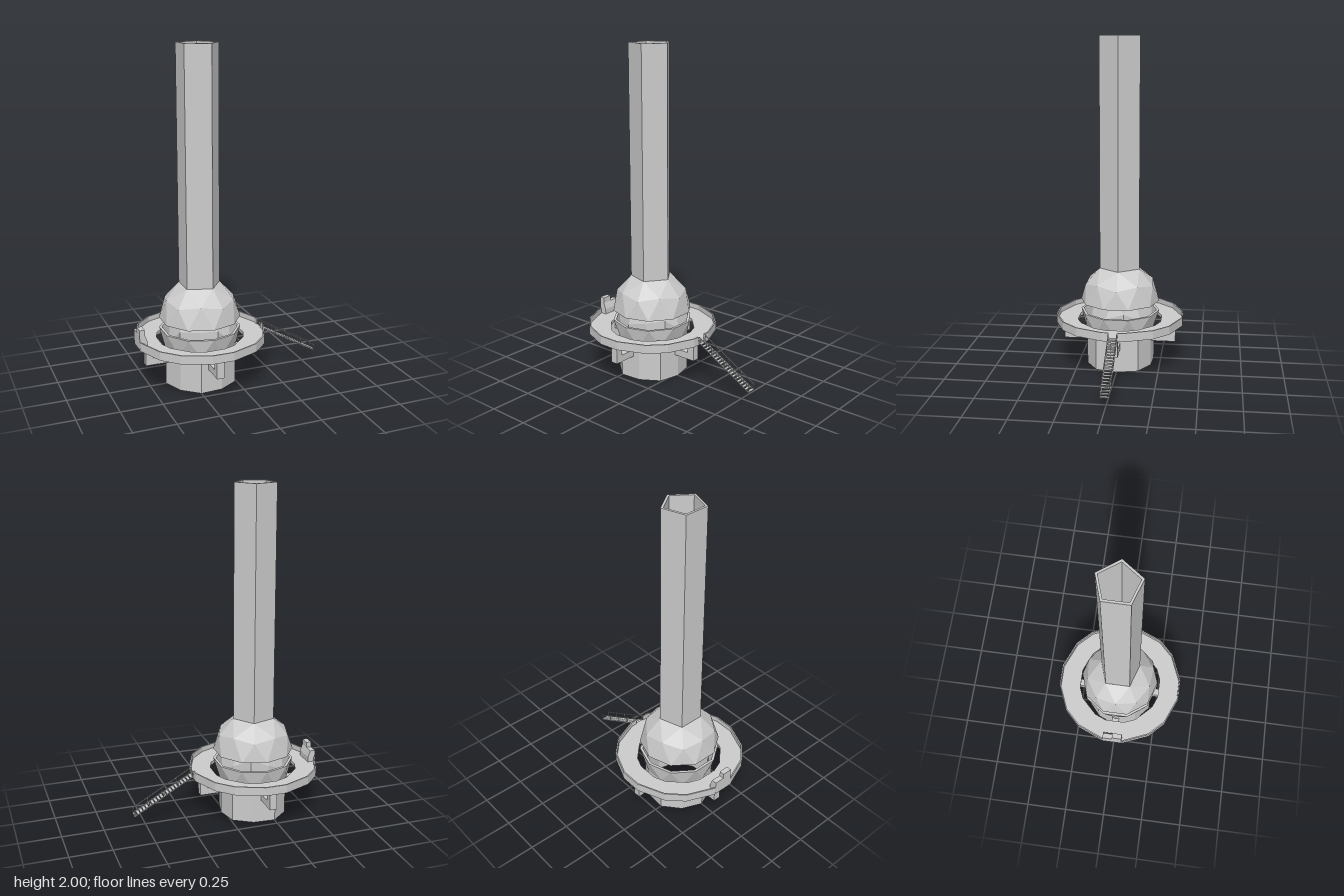
import * as THREE from 'three';

const mat = new THREE.MeshStandardMaterial({ color: 0xcccccc, flatShading: true, side: THREE.DoubleSide });
const R = 0.242;      // radius of the geodesic sphere
const CX = -0.184;    // axis of the tower

// Point at radius r, height y and azimuth in degrees
const polar = (r, y, deg) => {
  const a = THREE.MathUtils.degToRad(deg);
  return [r * Math.cos(a), y, r * Math.sin(a)];
};
const ring = (n, f) => Array.from({ length: n }, (_, j) => f(j));
const at = (a, j) => a[(j + a.length) % a.length];

// Triangle lists between rings of points
const wall = (lo, up) => lo.flatMap((p, j) => [
  [p, up[j], at(up, j + 1)], [p, at(up, j + 1), at(lo, j + 1)]]);
const flip = (tris) => tris.map(([a, b, c]) => [c, b, a]);
const cap = (outer, inner) => outer.flatMap((p, j) => [
  [p, inner[j], at(inner, j + 1)], [p, at(inner, j + 1), at(outer, j + 1)]]);

function add(parent, name, geo, x = 0, y = 0, z = 0) {
  const m = new THREE.Mesh(geo, mat);
  m.name = name;
  m.position.set(x, y, z);
  parent.add(m);
  return m;
}
const box = (parent, name, w, h, d, x, y, z) => add(parent, name, new THREE.BoxGeometry(w, h, d), x, y, z);

function fromTris(tris) {
  const g = new THREE.BufferGeometry();
  g.setAttribute('position', new THREE.Float32BufferAttribute(tris.flat(2), 3));
  g.computeVertexNormals();
  return g;
}

// Upper half of a two-frequency geodesic sphere, open at the top pentagon
function domeParts(s, y0) {
  const r = R * s;
  const A = ring(5, k => polar(r * 0.5257, y0 + r * 0.8507, 72 * k));
  const B = ring(10, j => (j % 2 ? polar(r * 0.8507, y0 + r * 0.5257, 36 * j) : polar(r * 0.8944, y0 + r * 0.4472, 36 * j)));
  const E = ring(10, j => polar(r, y0, 18 + 36 * j));
  const tris = [];
  A.forEach((a, k) => tris.push(
    [a, at(A, k + 1), at(B, 2 * k + 1)],
    [at(B, 2 * k), a, at(B, 2 * k + 1)],
    [at(B, 2 * k - 1), a, at(B, 2 * k)]));
  B.forEach((b, j) => tris.push([at(E, j - 1), b, E[j]], [b, at(B, j + 1), E[j]]));
  return { tris, A, E };
}

// Lower bowl of the sphere, running straight down into the base
function baseParts(s, y0) {
  const r = R * s;
  const E = ring(10, j => polar(r, y0, 18 + 36 * j));
  const L = ring(10, j => (j % 2 ? polar(r * 0.8944, y0 - R * 0.4472, 36 * j) : polar(r * 0.8507, y0 - R * 0.5257, 36 * j)));
  const G = L.map(([x, , z]) => [x, 0, z]);
  const tris = wall(G, L);
  L.forEach((l, j) => tris.push([l, E[j], at(L, j + 1)], [at(E, j - 1), E[j], l]));
  return { tris, E, G };
}

// Flat polygon in x/z extruded upwards from y
function slab(points, h, hole) {
  const v = (p) => p.map(([x, , z]) => new THREE.Vector2(x, -z));
  const s = new THREE.Shape(v(points));
  if (hole) s.holes.push(new THREE.Path(v(hole)));
  return new THREE.ExtrudeGeometry(s, { depth: h, bevelEnabled: false }).rotateX(-Math.PI / 2);
}

// Sixteen-sided ring, mirrored in each quadrant
function ring16(r, first, second) {
  const angles = [0, 90, 180, 270].flatMap(q => [first, second, 90 - second, 90 - first].map(a => a + q));
  return angles.map(a => polar(r, 0, a));
}

export function createModel() {
  const model = new THREE.Group();
  const tower = new THREE.Group();
  tower.name = 'tower';
  tower.position.x = CX;
  model.add(tower);

  // Five-sided hollow chimney
  const pent = (r, y) => ring(5, k => polar(r, y, 72 * k));
  const [o0, o1, i0, i1] = [pent(0.127, 0.602), pent(0.127, 2), pent(0.111, 0.602), pent(0.111, 2)];
  add(tower, 'chimney', fromTris([...wall(o0, o1), ...flip(wall(i0, i1)), ...cap(o1, i1), ...flip(cap(o0, i0))]));

  // Faceted dome
  const d = domeParts(1, 0.397), di = domeParts(0.94, 0.397);
  add(tower, 'dome', fromTris([...d.tris, ...flip(di.tris), ...flip(cap(d.E, di.E)), ...cap(d.A, di.A)]));

  // Hollow base flaring into the bowl
  const b = baseParts(1, 0.336), bi = baseParts(0.93, 0.336);
  add(tower, 'base', fromTris([...b.tris, ...flip(bi.tris), ...cap(b.E, bi.E), ...flip(cap(b.G, bi.G))]));

  // Walkway floor and its low outer rim, open towards the stairs
  const outer = ring16(0.393, 9.5, 35.5);
  const inner = ring16(0.261, 13, 30);
  add(tower, 'walkwayFloor', slab(outer, 0.02, inner), 0, 0.26, 0);
  const rimIn = ring16(0.385, 9.5, 35.5);
  const gap = 0.027;
  const rim = [[outer[0][0], 0, gap], ...outer, [outer[0][0], 0, -gap],
    [rimIn[0][0], 0, -gap], ...rimIn.reverse(), [rimIn[15][0], 0, gap]];
  add(tower, 'walkwayRim', slab(rim, 0.052), 0, 0.26, 0);

  // Four L-shaped brackets under the walkway
  for (let k = 0; k < 4; k++) {
    const bracket = new THREE.Group();
    bracket.name = 'bracket';
    bracket.rotation.y = k * Math.PI / 2;
    box(bracket, 'bracketPost', 0.044, 0.12, 0.044, 0.322, 0.203, 0);
    box(bracket, 'bracketArm', 0.145, 0.042, 0.044, 0.2715, 0.164, 0);
    tower.add(bracket);
  }

  // Control desk: sloped plinth with a taller half
  const desk = new THREE.Group();
  desk.name = 'controlDesk';
  model.add(desk);
  const plinth = new THREE.Shape([[-0.573, 0.27], [-0.527, 0.27], [-0.527, 0.312], [-0.542, 0.352], [-0.573, 0.352]]
    .map(p => new THREE.Vector2(...p)));
  add(desk, 'deskPlinth', new THREE.ExtrudeGeometry(plinth, { depth: 0.12, bevelEnabled: false }), 0, 0, -0.06);
  box(desk, 'deskCabinet', 0.031, 0.075, 0.06, -0.5575, 0.3475, 0.03);

  // Stairs with stringers, handrails and posts
  const stairs = new THREE.Group();
  stairs.name = 'stairs';
  model.add(stairs);
  const x0 = 0.206, run = 0.365, drop = 0.207, steps = 20;
  const height = (x) => 0.274 - drop * (x - x0) / run;
  for (let i = 0; i < steps; i++) {
    const x = x0 + run * (i + 0.5) / steps;
    box(stairs, 'tread', run / steps, 0.004, 0.05, x, height(x), 0);
  }
  const mid = x0 + run / 2;
  for (const z of [-0.0245, 0.0245]) {
    for (const [name, dy] of [['stringer', 0], ['handrail', 0.037]]) {
      const bar = box(stairs, name, Math.hypot(run, drop), 0.005, 0.004, mid, height(mid) + dy, z);
      bar.rotation.z = -Math.atan2(drop, run);
    }
    for (let i = 0; i < 5; i++) {
      const x = x0 + 0.004 + i * (run - 0.008) / 4;
      box(stairs, 'railPost', 0.004, 0.037, 0.004, x, height(x) + 0.0185, z);
    }
  }
  return model;
}
